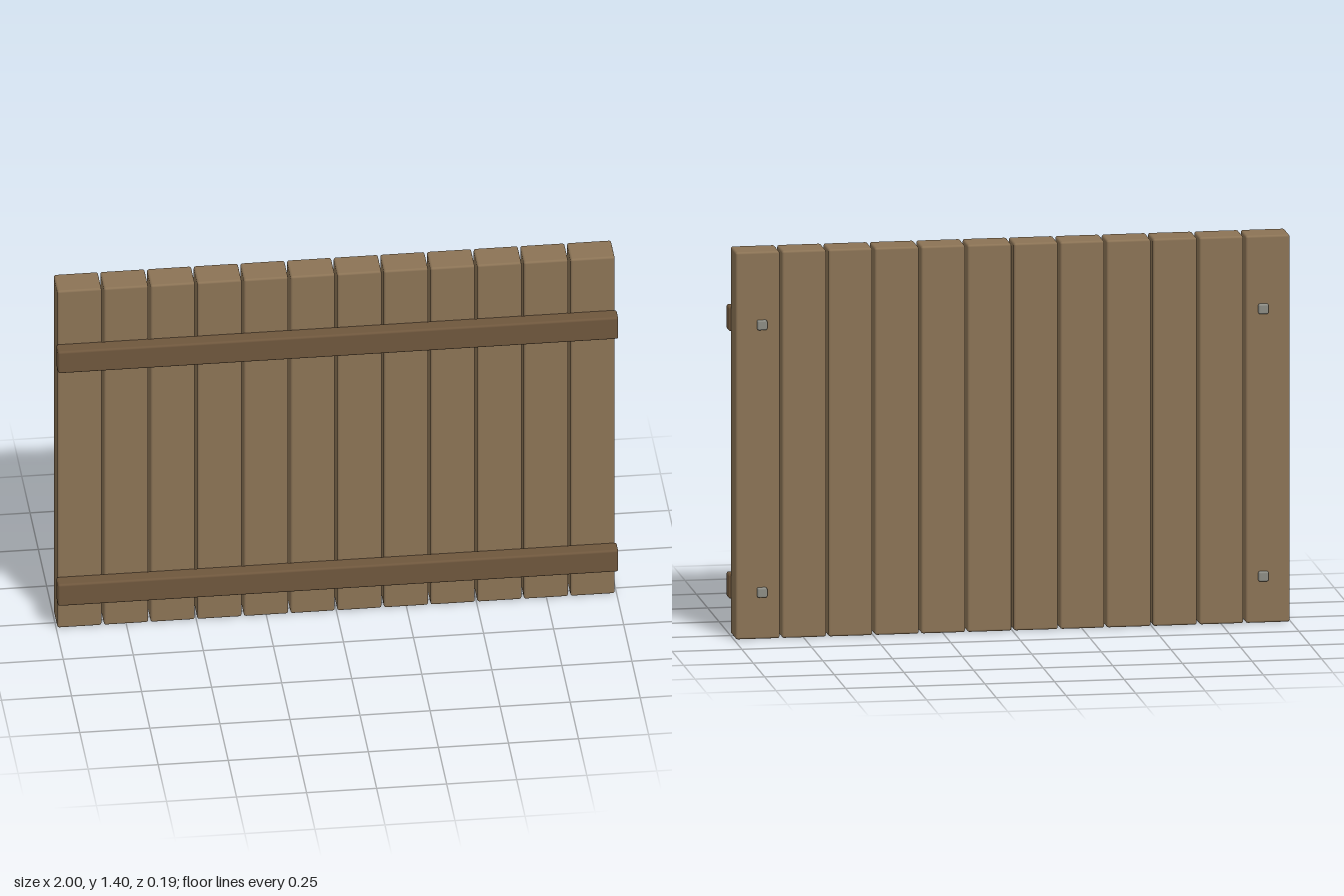
import * as THREE from 'three';
import { RoundedBoxGeometry } from 'three/addons/geometries/RoundedBoxGeometry.js';

export function createModel() {
  const model = new THREE.Group();
  model.name = 'woodenFencePanel';

  const plankWood = new THREE.MeshStandardMaterial({ color: 0x8b7355 });
  const railWood = new THREE.MeshStandardMaterial({ color: 0x6f573d });
  const metal = new THREE.MeshStandardMaterial({ color: 0x8c8c84 });

  const add = (name, geometry, material, x, y, z) => {
    const mesh = new THREE.Mesh(geometry, material);
    mesh.name = name;
    mesh.position.set(x, y, z);
    model.add(mesh);
  };

  // Upright planks with narrow gaps
  const count = 12, pitch = 0.1665, height = 1.4;
  const plank = new RoundedBoxGeometry(0.158, height, 0.118, 2, 0.008);
  for (let i = 0; i < count; i++) {
    add(`plank${i + 1}`, plank, plankWood, (i - (count - 1) / 2) * pitch - 0.001, height / 2, -0.02);
  }

  // Two horizontal rails on the front, with bolt heads behind their ends
  const rail = new RoundedBoxGeometry(2, 0.09, 0.058, 2, 0.008);
  const bolt = new RoundedBoxGeometry(0.036, 0.036, 0.028, 2, 0.006);
  for (const [level, y] of [['lower', 0.169], ['upper', 1.136]]) {
    add(`${level}Rail`, rail, railWood, 0, y, 0.066);
    for (const [side, s] of [['Left', 1], ['Right', -1]]) {
      add(`${level}${side}Bolt`, bolt, metal, s * 0.9, y, -0.079);
    }
  }
  return model;
}
